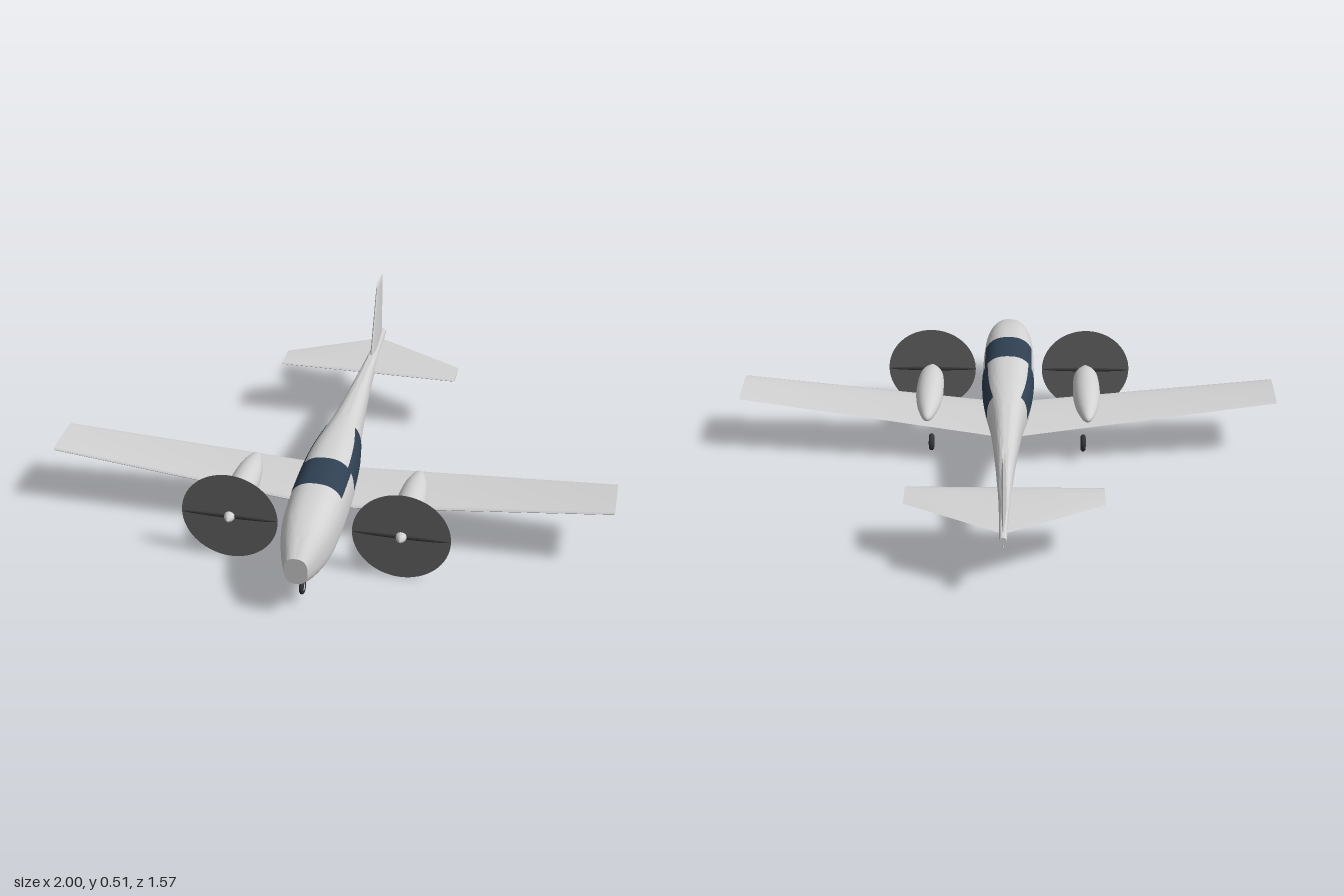
import * as THREE from 'three';
import { mergeVertices, toCreasedNormals } from 'three/addons/utils/BufferGeometryUtils.js';

const mat = (name, color, side = THREE.FrontSide) => {
  const m = new THREE.MeshStandardMaterial({ color, side });
  m.name = name;
  return m;
};

// Surface through rows of points
function skin(rows, crease) {
  const n = rows[0].length, index = [];
  for (let i = 0; i < rows.length - 1; i++) {
    for (let j = 0; j < n - 1; j++) {
      const a = i * n + j, b = a + n;
      index.push(a, b, a + 1, b, b + 1, a + 1);
    }
  }
  let g = new THREE.BufferGeometry().setFromPoints(rows.flat());
  g.setIndex(index);
  g = mergeVertices(g, 1e-5);
  g.computeVertexNormals();
  return crease ? toCreasedNormals(g, crease) : g;
}

// Closed aerofoil surface; place(span, chordwise, thickness) maps to space
// stations: [span, front, back, half thickness]
function aerofoil(stations, place) {
  const ring = ([s, front, back, t], k) => Array.from({ length: 33 }, (_, j) => {
    const p = (j % 32) / 32 * Math.PI * 2;
    const c = (front + back) / 2 + k * (front - back) / 2 * Math.cos(p);
    return place(s, c, k * t * Math.sin(p) * (0.75 + 0.4 * Math.cos(p)));
  });
  const rows = stations.map(s => ring(s, 1));
  rows.unshift(ring(stations[0], 0));
  rows.push(ring(stations[stations.length - 1], 0));
  return skin(rows, 0.7);
}

// Fuselage stations: z, half width, bottom, top
const stations = [
  [-0.785, 0.012, 0.22, 0.25], [-0.6, 0.018, 0.205, 0.262], [-0.4, 0.029, 0.188, 0.277],
  [-0.2, 0.044, 0.164, 0.291], [-0.05, 0.058, 0.138, 0.304], [0.05, 0.072, 0.118, 0.314],
  [0.15, 0.087, 0.099, 0.323], [0.25, 0.095, 0.09, 0.327], [0.4, 0.098, 0.086, 0.328],
  [0.52, 0.096, 0.086, 0.325], [0.62, 0.088, 0.092, 0.315], [0.7, 0.07, 0.108, 0.29],
  [0.75, 0.053, 0.125, 0.264], [0.785, 0.04, 0.142, 0.243],
];
const bodyShape = new THREE.CubicInterpolant(
  new Float32Array(stations.map(s => s[0])),
  new Float32Array(stations.flatMap(s => s.slice(1))), 3);
const POWER = 2.5;

function bodyAt(z) {
  const [w, lo, hi] = bodyShape.evaluate(z);
  return { w, mid: (lo + hi) / 2, h: (hi - lo) / 2 };
}
const bulge = v => Math.sign(v) * Math.abs(v) ** (2 / POWER);

function bodyPoint(z, angle, grow = 0) {
  const { w, mid, h } = bodyAt(z);
  return new THREE.Vector3(
    (w + grow) * bulge(Math.cos(angle)), mid + (h + grow) * bulge(Math.sin(angle)), z);
}
function angleAtHeight(z, y) {
  const { mid, h } = bodyAt(z);
  const v = THREE.MathUtils.clamp((y - mid) / h, -1, 1);
  return Math.asin(Math.sign(v) * Math.abs(v) ** (POWER / 2));
}

// Window panel lying just off the fuselage, from nose end to tail end
function panel(z0, z1, from, to) {
  const rows = [];
  for (let i = 0; i <= 20; i++) {
    const z = z0 + (z1 - z0) * i / 20, a = from(z), b = to(z);
    rows.push(Array.from({ length: 33 }, (_, j) => bodyPoint(z, a + (b - a) * j / 32, 0.002)));
  }
  return skin(rows);
}

export function createModel() {
  const model = new THREE.Group();
  const paint = mat('grey paint', 0xd2d2d2);
  const glass = mat('dark window', 0x2f4052, THREE.DoubleSide);
  const blur = mat('propeller disc grey', 0x666466, THREE.DoubleSide);
  const dark = mat('blade grey', 0x3c3a3c);
  const rubber = mat('tyre black', 0x333335);
  const add = (name, geometry, material, parent = model) => {
    const mesh = new THREE.Mesh(geometry, material);
    mesh.name = name;
    parent.add(mesh);
    return mesh;
  };

  // Fuselage with flat nose and tail ends
  const rows = [];
  for (let i = 0; i <= 80; i++) {
    const z = 0.785 - 1.57 * i / 80;
    rows.push(Array.from({ length: 65 }, (_, j) => bodyPoint(z, (j % 64) / 64 * Math.PI * 2)));
  }
  for (const end of [0, 1]) {
    const z = end ? -0.785 : 0.785;
    const centre = new THREE.Vector3(0, bodyAt(z).mid, z);
    const cap = rows[0].map(() => centre.clone());
    if (end) rows.push(cap); else rows.unshift(cap);
  }
  add('fuselage', skin(rows, 0.7), paint);

  // Windscreen over the roof and a long window on each side
  const sill = z => angleAtHeight(z, 0.277);
  add('windscreen', panel(0.47, 0.31, sill, z => Math.PI - sill(z)), glass);
  const low = z => angleAtHeight(z, 0.205), high = z => angleAtHeight(z, 0.296);
  add('leftWindow', panel(0.31, 0.05, low, high), glass);
  add('rightWindow', panel(0.31, 0.05, z => Math.PI - high(z), z => Math.PI - low(z)), glass);

  // Wing with dihedral, and level tailplane
  add('wing', aerofoil(
    [[-1, 0.315, 0.132, 0.011], [0, 0.315, 0.05, 0.016], [1, 0.315, 0.132, 0.011]],
    (s, c, t) => new THREE.Vector3(s, 0.125 + 0.11 * Math.abs(s) + t, c)), paint);
  add('tailplane', aerofoil(
    [[-0.34, -0.455, -0.56, 0.007], [0, -0.455, -0.735, 0.013], [0.34, -0.455, -0.56, 0.007]],
    (s, c, t) => new THREE.Vector3(s, 0.231 + t, c)), paint);

  // Upright fin passing through the tail
  add('fin', aerofoil(
    [[0.19, -0.495, -0.76, 0.012], [0.51, -0.635, -0.755, 0.006]],
    (s, c, t) => new THREE.Vector3(-t, s, c)), paint);

  // Engines
  const lathe = pts => new THREE.LatheGeometry(
    new THREE.SplineCurve(pts.map(p => new THREE.Vector2(...p))).getPoints(40)
      .map(p => new THREE.Vector2(Math.max(p.x, 0), p.y)), 40).rotateX(Math.PI / 2);
  const nacelle = lathe([[0, 0.1], [0.014, 0.11], [0.028, 0.145], [0.042, 0.2], [0.051, 0.28],
    [0.051, 0.36], [0.046, 0.43], [0.034, 0.468], [0.02, 0.488], [0, 0.492]]);
  const spinner = lathe([[0.021, 0.485], [0.019, 0.502], [0.012, 0.52], [0, 0.532]]);
  const disc = new THREE.CircleGeometry(0.17, 64).translate(0, 0, 0.5);
  const blades = new THREE.SphereGeometry(1, 32, 12).scale(0.168, 0.008, 0.005).translate(0, 0, 0.5);

  // Wheel with pale hub
  function wheel(name, x, y, z, r) {
    const group = new THREE.Group();
    group.name = name;
    group.position.set(x, y, z);
    add('tyre', new THREE.TorusGeometry(r * 0.7, r * 0.3, 14, 32).rotateY(Math.PI / 2), rubber, group);
    add('hub', new THREE.CylinderGeometry(r * 0.52, r * 0.52, r * 0.45, 24).rotateZ(Math.PI / 2), paint, group);
    model.add(group);
  }

  for (const side of [-1, 1]) {
    const engine = new THREE.Group();
    engine.name = side > 0 ? 'leftEngine' : 'rightEngine';
    engine.position.set(side * 0.3, 0.172, 0);
    add('nacelle', nacelle, paint, engine);
    add('spinner', spinner, paint, engine);
    add('propellerDisc', disc, blur, engine);
    add('propellerBlades', blades, dark, engine);
    model.add(engine);
    wheel(side > 0 ? 'leftWheel' : 'rightWheel', side * 0.285, 0.067, 0.115, 0.032);
  }
  wheel('noseWheel', 0, 0.061, 0.692, 0.027);
  return model;
}
